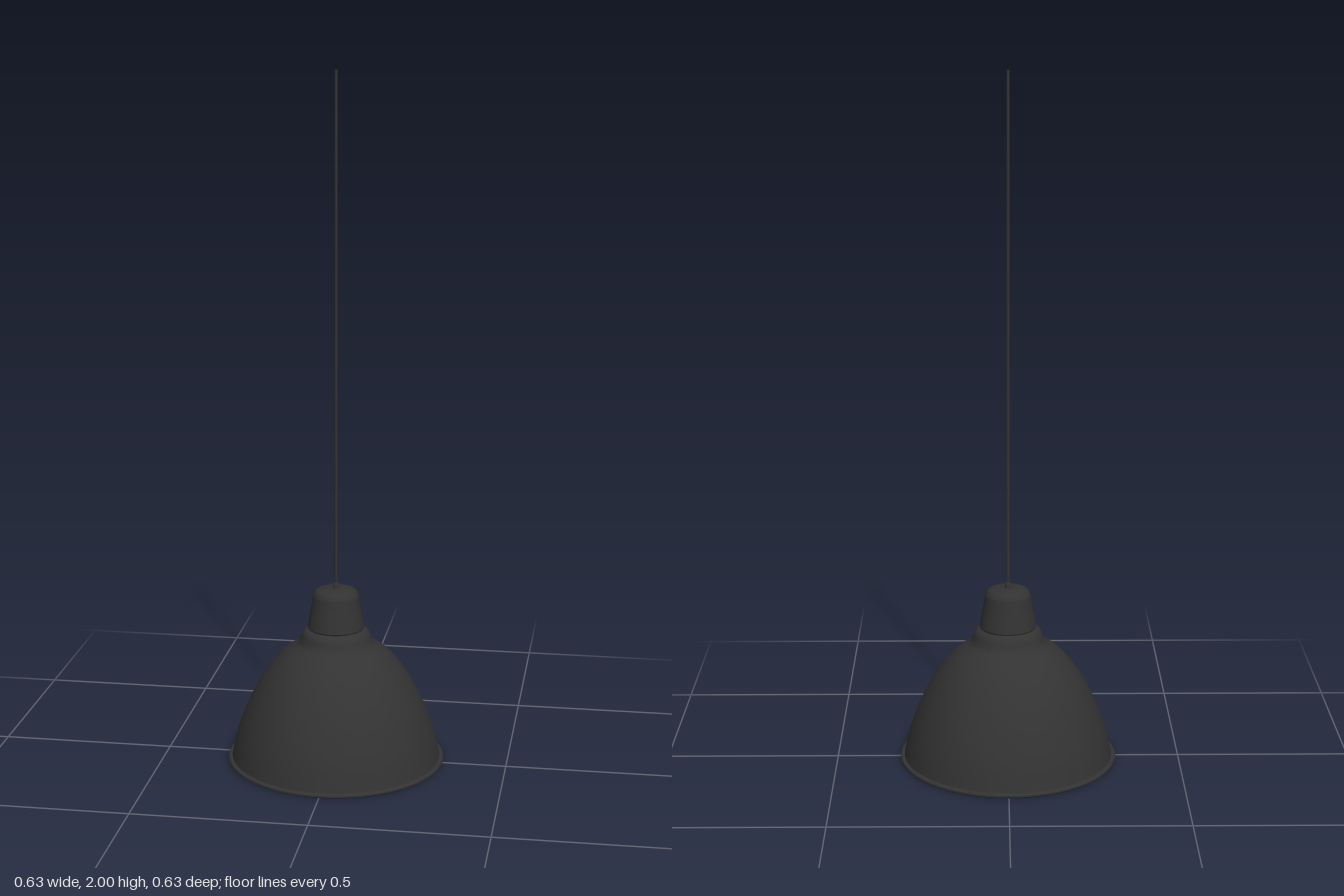
import * as THREE from 'three';
import { toCreasedNormals } from 'three/addons/utils/BufferGeometryUtils.js';

const SEGMENTS = 96;
const material = new THREE.MeshStandardMaterial({ color: 0x333333, side: THREE.DoubleSide });

// Revolve [radius, height] pairs around the y axis
function turned(name, profile, segments = SEGMENTS) {
  const points = profile.map(([r, y]) => new THREE.Vector2(r, y));
  const geometry = toCreasedNormals(new THREE.LatheGeometry(points, segments), 0.6);
  const mesh = new THREE.Mesh(geometry, material);
  mesh.name = name;
  return mesh;
}

// Smooth curve through a few [radius, height] pairs
function smooth(pairs, divisions) {
  const curve = new THREE.SplineCurve(pairs.map(([r, y]) => new THREE.Vector2(r, y)));
  return curve.getPoints(divisions).map((p) => [p.x, p.y]);
}

export function createModel() {
  const lamp = new THREE.Group();
  lamp.name = 'pendantLamp';

  // Thin domed shade with an inner skin
  const dome = smooth([[0.304, 0.012], [0.285, 0.09], [0.253, 0.175], [0.213, 0.25],
    [0.163, 0.315], [0.108, 0.357]], 32);
  const collar = smooth([[0.108, 0.357], [0.102, 0.37], [0.095, 0.388], [0.082, 0.398]], 10);
  const inner = dome.map(([r, y]) => [r - 0.005, y - 0.004]).reverse();
  lamp.add(turned('shade', [...dome, ...collar.slice(1), [0.072, 0.398]]));
  lamp.add(turned('shadeLining', [[0.072, 0.396], [0.09, 0.38], ...inner]));

  // Rolled lip around the opening
  lamp.add(turned('rim', [[0.299, 0.008], [0.301, 0], [0.312, 0], [0.315, 0.003],
    [0.315, 0.008], [0.312, 0.011], [0.303, 0.012], [0.299, 0.008]]));

  // Socket cover with a rounded top and a small cord hole
  const crown = smooth([[0.068, 0.482], [0.065, 0.5], [0.057, 0.512], [0.045, 0.517]], 12);
  lamp.add(turned('socketCover', [[0.072, 0.398], [0.08, 0.399], [0.082, 0.403],
    [0.076, 0.44], ...crown, [0.004, 0.518]]));

  // Cord grip and hollow hanging cord
  lamp.add(turned('cordGrip', [[0.009, 0.516], [0.009, 0.53], [0.007, 0.534], [0.004, 0.534]], 24));
  lamp.add(turned('cord', [[0.004, 0.5], [0.004, 2]], 16));

  return lamp;
}
